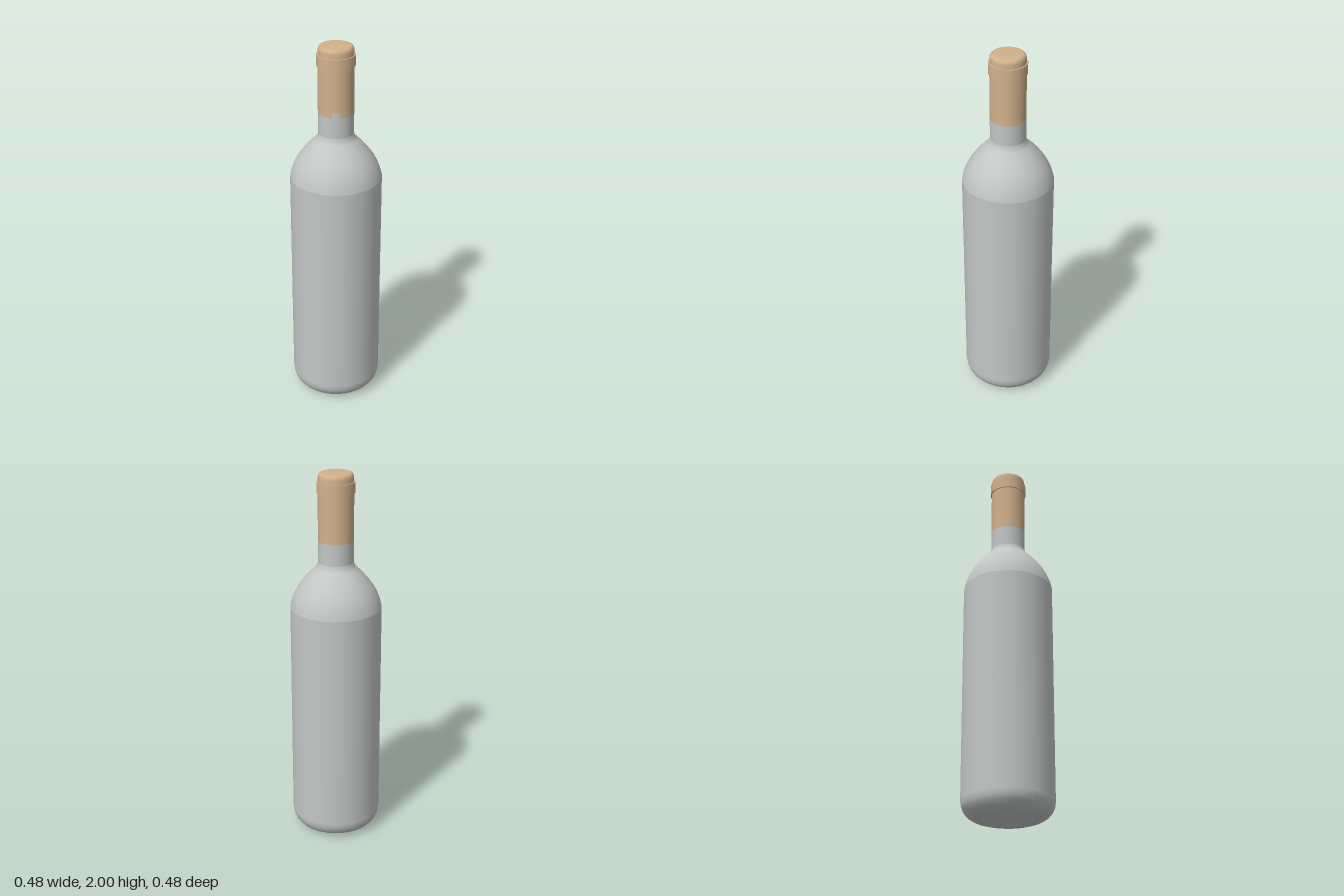
import * as THREE from 'three';

const SIDES = 32;

// Surface of revolution from [radius, height] pairs, listed bottom to top
function turned(name, profile, material, sides = SIDES, start = 0, sweep = Math.PI * 2) {
  const points = profile.map(([r, y]) => new THREE.Vector2(r, y));
  const mesh = new THREE.Mesh(new THREE.LatheGeometry(points, sides, start, sweep), material);
  mesh.name = name;
  return mesh;
}

export function createModel() {
  const glass = new THREE.MeshStandardMaterial({ color: 0xc2c6c5 });
  glass.name = 'grey glass';
  const foil = new THREE.MeshStandardMaterial({ color: 0xd2b18c });
  foil.name = 'tan foil';

  const bottle = new THREE.Group();
  bottle.name = 'bottle';

  // Glass: flat base, rounded heel, straight wall, curved shoulder, neck
  bottle.add(
    turned('base', [[0, 0], [0.165, 0]], glass),
    turned('body', [
      [0.165, 0], [0.188, 0.008], [0.21, 0.022], [0.227, 0.042],
      [0.237, 0.066], [0.241, 0.095], [0.241, 1.285],
    ], glass),
    turned('shoulder', [
      [0.241, 1.285], [0.233, 1.322], [0.218, 1.36], [0.197, 1.398],
      [0.17, 1.435], [0.138, 1.471], [0.108, 1.5], [0.098, 1.513], [0.093, 1.532],
    ], glass),
    turned('neck', [[0.093, 1.532], [0.093, 1.645]], glass),
  );

  // Foil capsule: sleeve, raised ring and rounded cap
  bottle.add(
    turned('sleeve', [[0.093, 1.645], [0.093, 1.897]], foil),
    turned('ringUnderside', [[0.093, 1.897], [0.099, 1.897]], foil),
    turned('ring', [[0.099, 1.897], [0.099, 1.955]], foil),
    turned('ringTop', [[0.099, 1.955], [0.092, 1.955]], foil),
    turned('cap', [
      [0.092, 1.955], [0.092, 1.978], [0.089, 1.99], [0.083, 1.997], [0.074, 2], [0, 2],
    ], foil),
  );

  // Small notch in the front lower edge of the sleeve, showing the glass
  const step = (Math.PI * 2) / SIDES;
  bottle.add(turned('sleeveNotch', [[0.0935, 1.645], [0.0935, 1.673]], glass, 2, -2 * step, 2 * step));

  return bottle;
}
